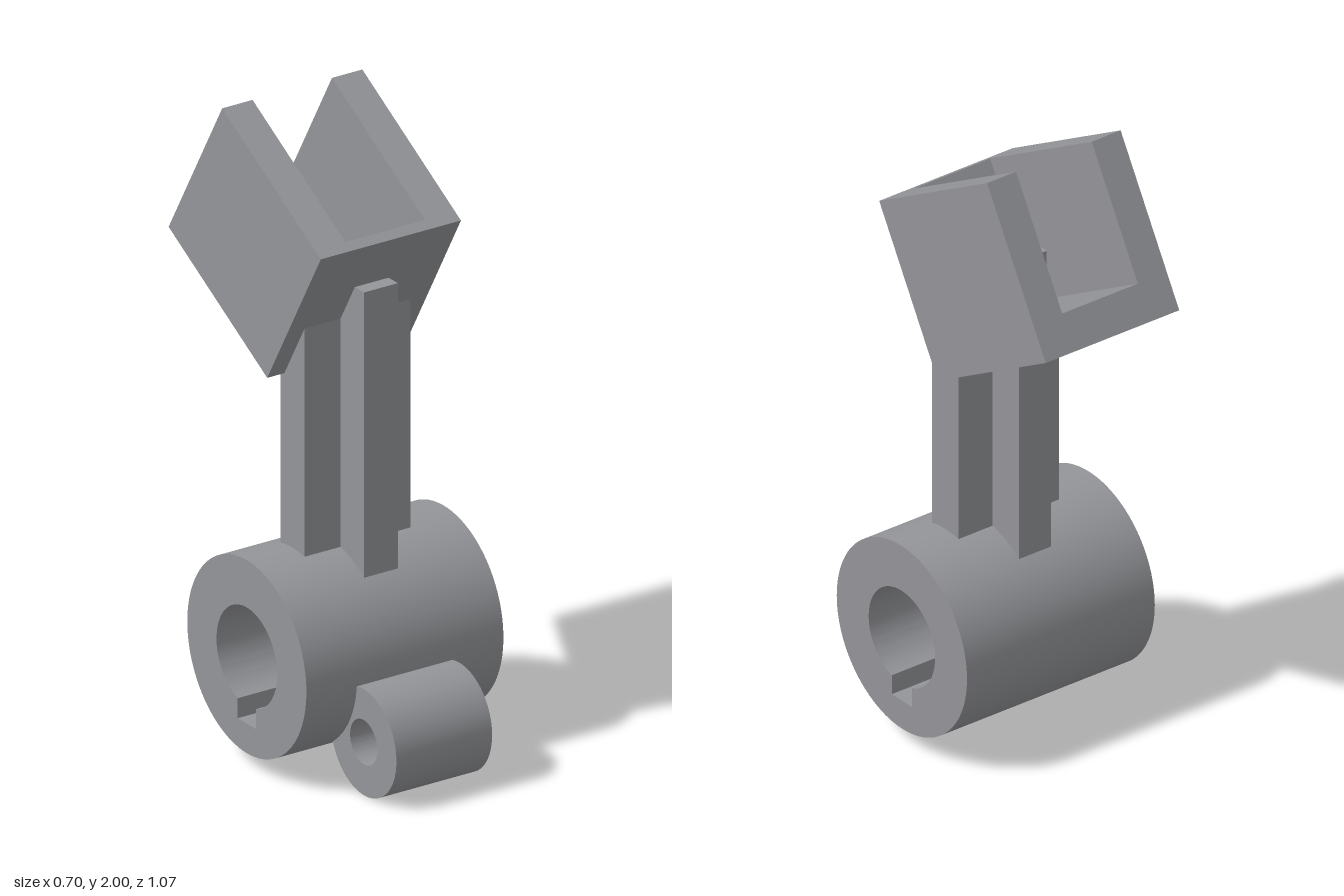
import * as THREE from 'three';
import { toCreasedNormals } from 'three/addons/utils/BufferGeometryUtils.js';

const steel = new THREE.MeshStandardMaterial({ color: 0x949599 });
steel.name = 'steel grey';

// Extrudes a side profile, drawn as (z, y), along x and centres it on centreX
function sidePart(name, shape, width, centreX = 0) {
  let geometry = new THREE.ExtrudeGeometry(shape, { depth: width, bevelEnabled: false, curveSegments: 48 });
  geometry.translate(0, 0, -width / 2);
  geometry.rotateY(-Math.PI / 2);
  geometry = toCreasedNormals(geometry, 0.5);
  const mesh = new THREE.Mesh(geometry, steel);
  mesh.name = name;
  mesh.position.x = centreX;
  return mesh;
}

const polygon = (points) => new THREE.Shape(points.map(([a, b]) => new THREE.Vector2(a, b)));

function disc(z, y, radius) {
  const shape = new THREE.Shape();
  shape.absarc(z, y, radius, 0, Math.PI * 2);
  return shape;
}

export function createModel() {
  const model = new THREE.Group();
  model.name = 'forkedLever';

  // Main hub, with a keyway at the bottom of the bore
  const z = 0.02, y = 0.365, bore = 0.158, key = 0.0475;
  const hub = disc(z, y, 0.31);
  const a = Math.asin(key / bore);
  const hole = new THREE.Path();
  hole.moveTo(z - key, 0.15);
  hole.lineTo(z + key, 0.15);
  hole.absarc(z, y, bore, -Math.PI / 2 + a, Math.PI * 1.5 - a, false);
  hole.closePath();
  hub.holes.push(hole);
  model.add(sidePart('hub', hub, 0.7));

  // Small pin boss on the front of the hub
  const boss = disc(0.365, 0.172, 0.17);
  boss.holes.push(new THREE.Path().absarc(0.365, 0.172, 0.071, 0, Math.PI * 2));
  model.add(sidePart('pinBoss', boss, 0.34));

  // Upright stem with a cross-shaped section, drawn as (x, -z)
  const section = polygon([
    [-0.06, -0.205], [0.06, -0.205], [0.06, -0.083], [0.188, -0.083], [0.188, 0.042], [0.06, 0.042],
    [0.06, 0.167], [-0.06, 0.167], [-0.06, 0.042], [-0.188, 0.042], [-0.188, -0.083], [-0.06, -0.083],
  ]);
  const stemGeometry = new THREE.ExtrudeGeometry(section, { depth: 1.09, bevelEnabled: false });
  stemGeometry.rotateX(-Math.PI / 2);
  const stem = new THREE.Mesh(stemGeometry, steel);
  stem.name = 'stem';
  stem.position.y = 0.44;
  model.add(stem);

  // Tilted fork head: two cheeks joined by a floor and a thin front wall
  const head = new THREE.Group();
  head.name = 'forkHead';
  const front = new THREE.Vector2(0.257, 1.703);
  const along = new THREE.Vector2(-0.866, 0.5);
  const down = new THREE.Vector2(-0.5, -0.866);
  const tilted = (points) => polygon(points.map(([u, v]) => [
    front.x + along.x * u + down.x * v,
    front.y + along.y * u + down.y * v,
  ]));
  const length = 0.593, depth = 0.558;
  for (const side of [-1, 1]) {
    const cheek = tilted([[0, 0], [0, depth], [length, depth], [length, 0]]);
    head.add(sidePart(side > 0 ? 'leftCheek' : 'rightCheek', cheek, 0.108, side * 0.195));
  }
  const bridge = tilted([[0, 0], [0, depth], [length, depth], [length, 0.44], [0.035, 0.44], [0.035, 0]]);
  head.add(sidePart('floorAndFrontWall', bridge, 0.282));
  model.add(head);

  return model;
}
